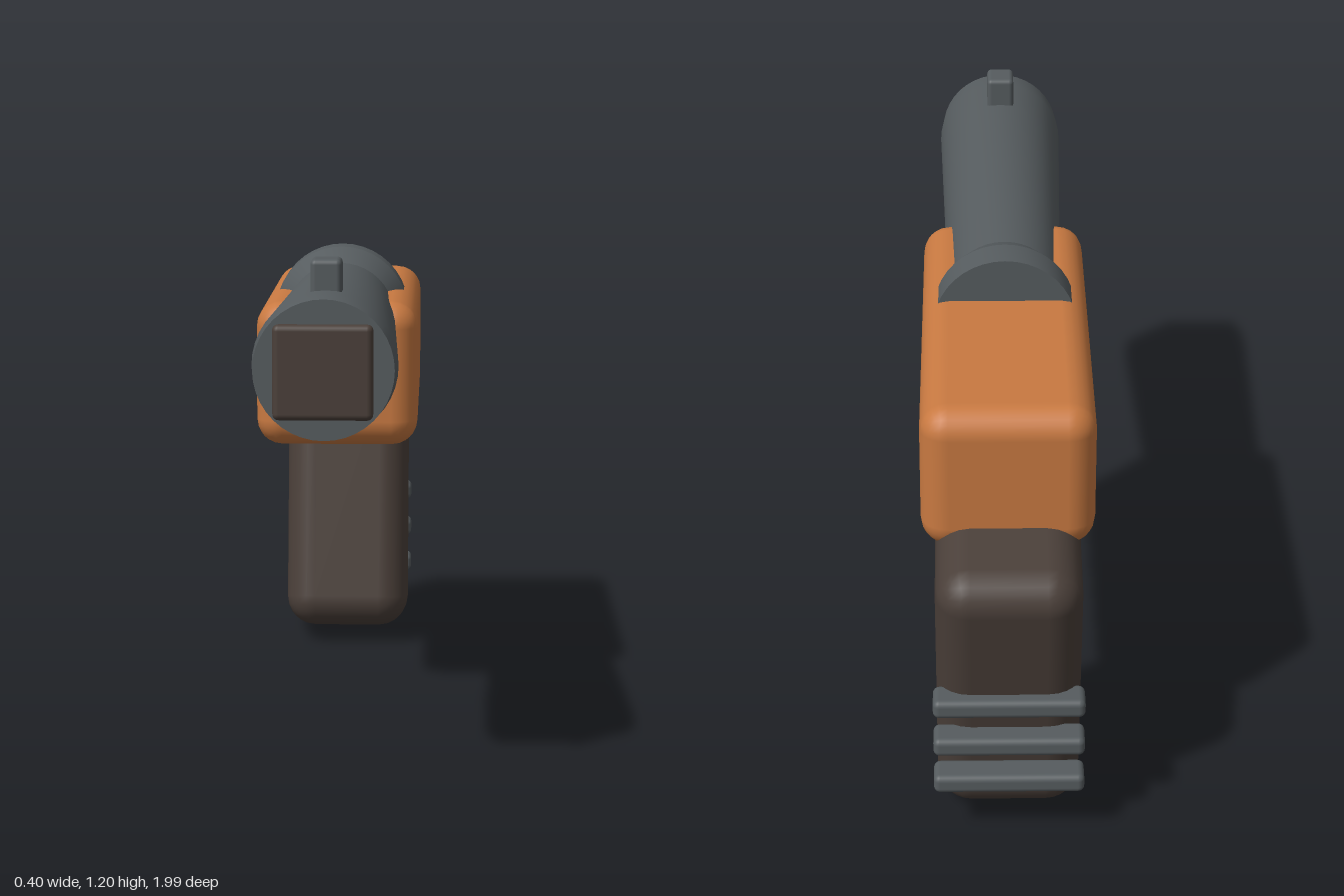
import * as THREE from 'three';
import { RoundedBoxGeometry } from 'three/addons/geometries/RoundedBoxGeometry.js';
import { toCreasedNormals } from 'three/addons/utils/BufferGeometryUtils.js';

const steel = new THREE.MeshStandardMaterial({ color: 0x565c5f });
const orange = new THREE.MeshStandardMaterial({ color: 0xc87941 });
const brown = new THREE.MeshStandardMaterial({ color: 0x4a3f39 });
steel.name = 'steel grey';
orange.name = 'orange';
brown.name = 'dark brown';

export function createModel() {
  const model = new THREE.Group();
  model.name = 'toyBlaster';

  const add = (name, geometry, material, x, y, z) => {
    const mesh = new THREE.Mesh(geometry, material);
    mesh.name = name;
    mesh.position.set(x, y, z);
    model.add(mesh);
    return mesh;
  };
  const box = (name, size, radius, material, y, z) =>
    add(name, new RoundedBoxGeometry(...size, 3, radius), material, 0, y, z);

  // Body and raked grip
  box('body', [0.4, 0.36, 1.02], 0.065, orange, 0.856, -0.29);
  box('grip', [0.335, 0.735, 0.377], 0.08, brown, 0.38, -0.75).rotation.x = -0.2;

  // Tapered barrel with a flared rear collar, closed at both ends
  const profile = [
    [0, -0.24], [0.172, -0.24], [0.172, -0.15], [0.138, -0.065],
    [0.163, 0.87], [0.156, 0.953], [0, 0.953],
  ].map(([r, z]) => new THREE.Vector2(r, z));
  const barrel = new THREE.LatheGeometry(profile, 40);
  barrel.rotateX(Math.PI / 2);
  add('barrel', toCreasedNormals(barrel, 0.35), steel, 0, 0.97, 0);

  // Muzzle plate and front sight
  box('muzzlePlate', [0.22, 0.21, 0.032], 0.014, brown, 0.97, 0.984);
  box('frontSight', [0.07, 0.11, 0.088], 0.012, steel, 1.145, 0.777);

  // Ribs across the back of the grip
  for (const y of [0.15, 0.255, 0.362]) {
    box('gripRib', [0.35, 0.047, 0.077], 0.015, steel, y, -0.938);
  }

  return model;
}
